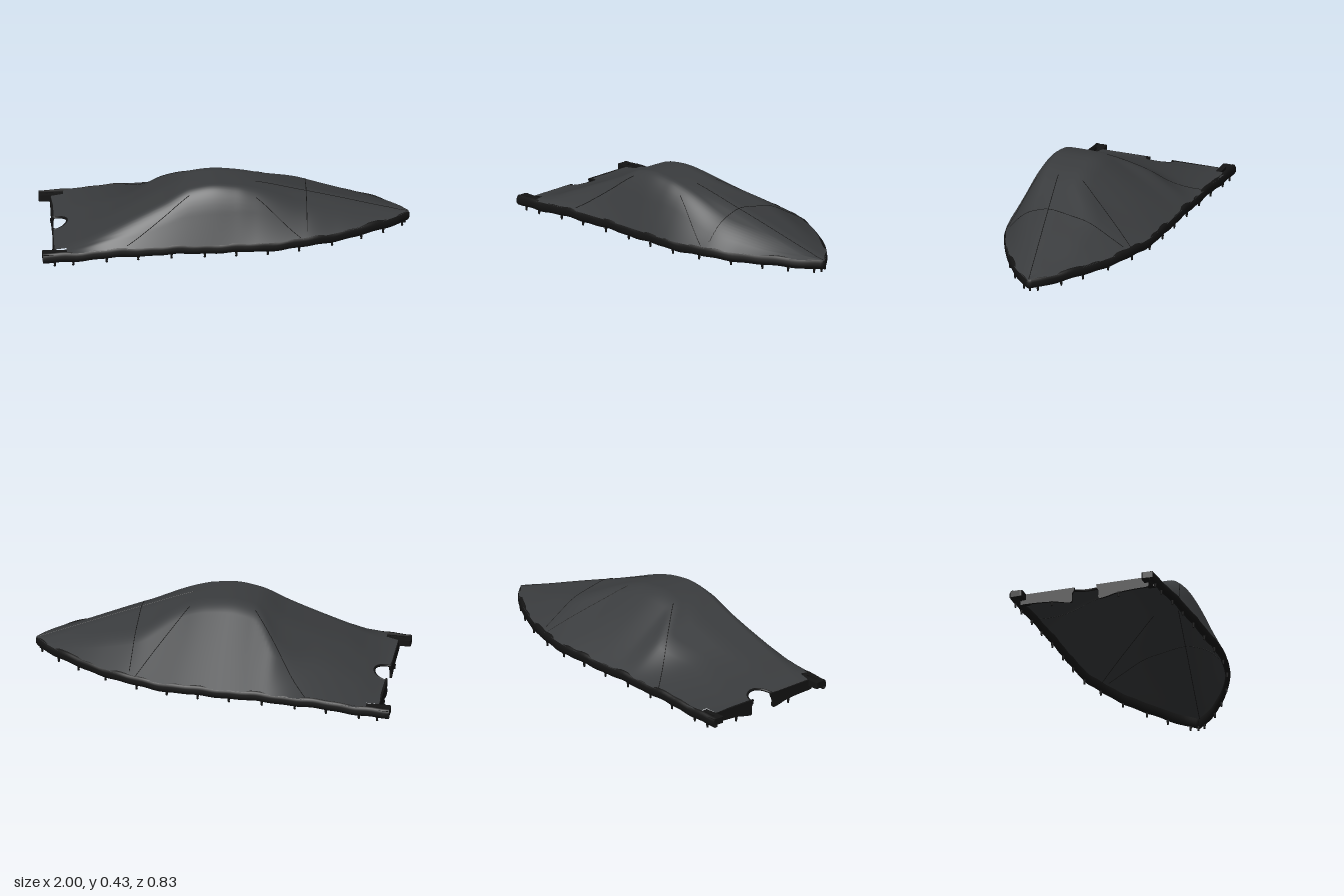
import * as THREE from 'three';

const fabric = new THREE.MeshStandardMaterial({ color: 0x3a3c3e, side: THREE.DoubleSide });
const trim = new THREE.MeshStandardMaterial({ color: 0x141414, side: THREE.DoubleSide });

// Cross-sections along the hull:
// x, half width, rim height, then z,y of port knee, crest and starboard knee
const SECTIONS = [
  [-1.00, 0.405, 0.090, -0.20, 0.090, 0.05, 0.090, 0.33, 0.090],
  [-0.93, 0.405, 0.095, -0.20, 0.093, 0.05, 0.093, 0.33, 0.097],
  [-0.80, 0.407, 0.106, -0.15, 0.125, 0.10, 0.132, 0.35, 0.130],
  [-0.68, 0.408, 0.117, -0.12, 0.160, 0.15, 0.182, 0.345, 0.182],
  [-0.54, 0.410, 0.128, -0.10, 0.208, 0.10, 0.240, 0.33, 0.247],
  [-0.35, 0.410, 0.137, -0.16, 0.290, 0.08, 0.330, 0.31, 0.336],
  [-0.19, 0.410, 0.142, 0.02, 0.415, 0.15, 0.417, 0.295, 0.415],
  [-0.06, 0.410, 0.145, 0.03, 0.435, 0.16, 0.436, 0.295, 0.435],
  [0.06, 0.410, 0.147, 0.03, 0.425, 0.16, 0.427, 0.29, 0.424],
  [0.16, 0.408, 0.149, 0.02, 0.402, 0.16, 0.408, 0.28, 0.398],
  [0.43, 0.358, 0.152, -0.13, 0.285, 0.11, 0.330, 0.25, 0.280],
  [0.60, 0.288, 0.152, -0.12, 0.236, 0.077, 0.276, 0.19, 0.236],
  [0.80, 0.177, 0.149, -0.08, 0.184, 0.038, 0.209, 0.105, 0.186],
  [0.92, 0.084, 0.146, -0.04, 0.158, 0.016, 0.170, 0.05, 0.158],
  [0.992, 0.006, 0.142, -0.003, 0.143, 0, 0.144, 0.003, 0.143],
];
const XS = SECTIONS.map(s => s[0]);

// Monotone cubic interpolation of one section column
function column(c, x) {
  const n = XS.length, slope = k => (SECTIONS[k + 1][c] - SECTIONS[k][c]) / (XS[k + 1] - XS[k]);
  const tangent = k => {
    if (k === 0) return slope(0);
    if (k === n - 1) return slope(n - 2);
    const a = slope(k - 1), b = slope(k);
    return a * b <= 0 ? 0 : 2 * a * b / (a + b);
  };
  x = Math.min(Math.max(x, XS[0]), XS[n - 1]);
  let k = 0;
  while (k < n - 2 && x > XS[k + 1]) k++;
  const h = XS[k + 1] - XS[k], t = (x - XS[k]) / h, t2 = t * t, t3 = t2 * t;
  return SECTIONS[k][c] * (2 * t3 - 3 * t2 + 1) + SECTIONS[k + 1][c] * (3 * t2 - 2 * t3)
    + h * (tangent(k) * (t3 - 2 * t2 + t) + tangent(k + 1) * (t3 - t2));
}

// Height of the stretched cover: straight panels with softened knees
function section(x) {
  const v = [1, 2, 3, 4, 5, 6, 7, 8].map(c => column(c, x));
  const w = v[0];
  const pts = [[-w, v[1]], [v[2], v[3]], [v[4], v[5]], [v[6], v[7]], [w, v[1]]];
  const linear = z => {
    let k = 0;
    while (k < 3 && z > pts[k + 1][0]) k++;
    const [a, b] = [pts[k], pts[k + 1]];
    return a[1] + (b[1] - a[1]) * (z - a[0]) / (b[0] - a[0]);
  };
  return z => {
    const r = Math.max(0, Math.min(0.045, w - Math.abs(z)));
    let sum = 0;
    for (let i = -3; i <= 3; i++) sum += linear(z + r * i / 3);
    return sum / 7;
  };
}
const height = (x, z) => section(x)(z);

// Surface through a grid of points
function grid(rows, cols, point) {
  const pos = [], idx = [];
  for (let i = 0; i <= rows; i++) for (let j = 0; j <= cols; j++) {
    pos.push(...point(i, j));
    const a = i * (cols + 1) + j, b = a + cols + 1;
    if (i < rows && j < cols) idx.push(a, a + 1, b, a + 1, b + 1, b);
  }
  const g = new THREE.BufferGeometry();
  g.setAttribute('position', new THREE.Float32BufferAttribute(pos, 3));
  g.setIndex(idx);
  g.computeVertexNormals();
  return g;
}

// Aft edge of the cover: motor notch in the middle, cut back at the corner tabs
function sternEdge(z) {
  const a = Math.abs(z);
  if (a < 0.078) return -0.93 + Math.sqrt(0.078 ** 2 - a * a);
  return a > 0.338 ? -0.865 : -0.93;
}

export function createModel() {
  const group = new THREE.Group();
  const add = (name, geometry, material, parent = group) => {
    const mesh = new THREE.Mesh(geometry, material);
    mesh.name = name;
    parent.add(mesh);
    return mesh;
  };

  // Main cover
  add('cover', grid(110, 120, (i, j) => {
    const s = -0.93 + 1.922 * i / 110;
    const z = column(1, s) * (j / 60 - 1);
    const x = s < -0.75 ? -0.75 + (sternEdge(z) + 0.75) * (-0.75 - s) / 0.18 : s;
    return [x, height(x, z), z];
  }), fabric);

  // Elastic hem wrapped around the hull edge
  const hem = [[-0.014, 0.006], [-0.002, 0.003], [0.005, -0.012], [0.005, -0.034],
    [-0.003, -0.048], [-0.02, -0.046], [-0.02, -0.012], [-0.014, 0.006]];
  const N = 90;
  add('hem', grid(2 * N, hem.length - 1, (i, j) => {
    const side = i <= N ? 1 : -1;
    const t = 1 - Math.abs(i - N) / N;
    const x = -0.995 + 1.987 * (1 - (1 - t) ** 1.4);
    const dw = (column(1, x + 0.005) - column(1, x - 0.005)) / 0.01;
    const l = Math.hypot(1, dw), [o, dy] = hem[j];
    const wave = 0.003 * Math.sin(x * 18) + 0.002 * Math.sin(x * 41);
    const z = i === N ? 0 : side * Math.max(0, column(1, x) + o / l);
    return [x - (i === N ? -o : o * dw / l), column(2, x) + dy + wave, z];
  }), trim);

  // Stitched seams lying on the cover
  const seams = [[-0.54, -0.4, -0.2, 0.02], [0.4, -0.36, 0.16, 0.02], [0.435, -0.33, 0.435, 0.33],
    [0.16, 0.16, 0.985, 0.002], [-0.54, 0.4, -0.2, 0.29], [0.4, 0.36, 0.16, 0.285]];
  for (const [x0, z0, x1, z1] of seams) {
    const pts = [];
    for (let k = 0; k <= 24; k++) {
      const x = x0 + (x1 - x0) * k / 24, z = z0 + (z1 - z0) * k / 24;
      pts.push(new THREE.Vector3(x, height(x, z), z));
    }
    add('seam', new THREE.TubeGeometry(new THREE.CatmullRomCurve3(pts), 48, 0.002, 5), trim);
  }

  // Rolled edge of the motor notch
  const arc = [];
  for (let k = 0; k <= 16; k++) {
    const a = Math.PI * (k / 16 - 0.5), x = -0.93 + 0.078 * Math.cos(a), z = 0.078 * Math.sin(a);
    arc.push(new THREE.Vector3(x, height(x, z) - 0.005, z));
  }
  add('notchEdge', new THREE.TubeGeometry(new THREE.CatmullRomCurve3(arc), 32, 0.007, 8), trim);

  // Hook with a tapered strap
  const clip = (x, y, z, parent) => {
    const c = new THREE.Group();
    c.name = 'clip';
    c.position.set(x, y, z);
    add('clipStrap', new THREE.CylinderGeometry(0.008, 0.005, 0.026, 6), trim, c).position.y = 0.015;
    add('clipHook', new THREE.TorusGeometry(0.005, 0.002, 5, 8, Math.PI), trim, c)
      .rotation.z = Math.PI;
    c.children[1].position.y = 0.007;
    parent.add(c);
  };

  // Stern flap with sagging lower edge
  const flap = new THREE.Shape();
  flap.moveTo(0.36, 0.094);
  flap.lineTo(0.362, 0.045);
  flap.quadraticCurveTo(0.36, 0.036, 0.34, 0.036);
  flap.bezierCurveTo(0.26, 0.036, 0.2, 0.03, 0.165, 0.026);
  flap.quadraticCurveTo(0.12, 0.012, 0.084, 0.009);
  flap.quadraticCurveTo(0.072, 0.012, 0.075, 0.03);
  flap.quadraticCurveTo(0.08, 0.06, 0.066, 0.072);
  flap.lineTo(0.062, 0.094);
  flap.closePath();

  // Corner tab with a strap slot
  const tab = new THREE.Shape();
  tab.moveTo(0.338, -0.86);
  tab.lineTo(0.338, -0.985);
  tab.quadraticCurveTo(0.338, -0.998, 0.352, -0.998);
  tab.lineTo(0.405, -0.995);
  tab.lineTo(0.405, -0.86);
  tab.closePath();
  const slot = new THREE.Path();
  slot.moveTo(0.368, -0.958);
  slot.lineTo(0.386, -0.958);
  slot.lineTo(0.386, -0.882);
  slot.lineTo(0.368, -0.882);
  slot.closePath();
  tab.holes.push(slot);

  for (const s of [1, -1]) {
    const half = new THREE.Group();
    half.name = s > 0 ? 'starboardFittings' : 'portFittings';
    half.scale.z = s;
    group.add(half);

    const f = add('sternFlap', new THREE.ExtrudeGeometry(flap, { depth: 0.012, bevelEnabled: false }), trim, half);
    f.rotation.y = -Math.PI / 2;
    f.position.x = -0.923;

    // Shape (z, x) is laid flat and given a downward thickness
    const g = new THREE.ExtrudeGeometry(tab, { depth: 0.035, bevelEnabled: false });
    g.applyMatrix4(new THREE.Matrix4().set(0, 1, 0, 0, 0, 0, 1, 0.06, 1, 0, 0, 0, 0, 0, 0, 1));
    add('cornerTab', g, trim, half);

    for (const x of [-0.83, -0.65, -0.48, -0.3, -0.12, 0.05, 0.22, 0.39, 0.57, 0.73, 0.85, 0.955])
      clip(x, column(2, x) - 0.074, column(1, x) - 0.008, half);
    clip(-0.93, 0.025, 0.398, half);
    clip(-0.933, 0.002, 0.19, half);
  }
  clip(0.97, 0.07, 0, group);

  return group;
}
